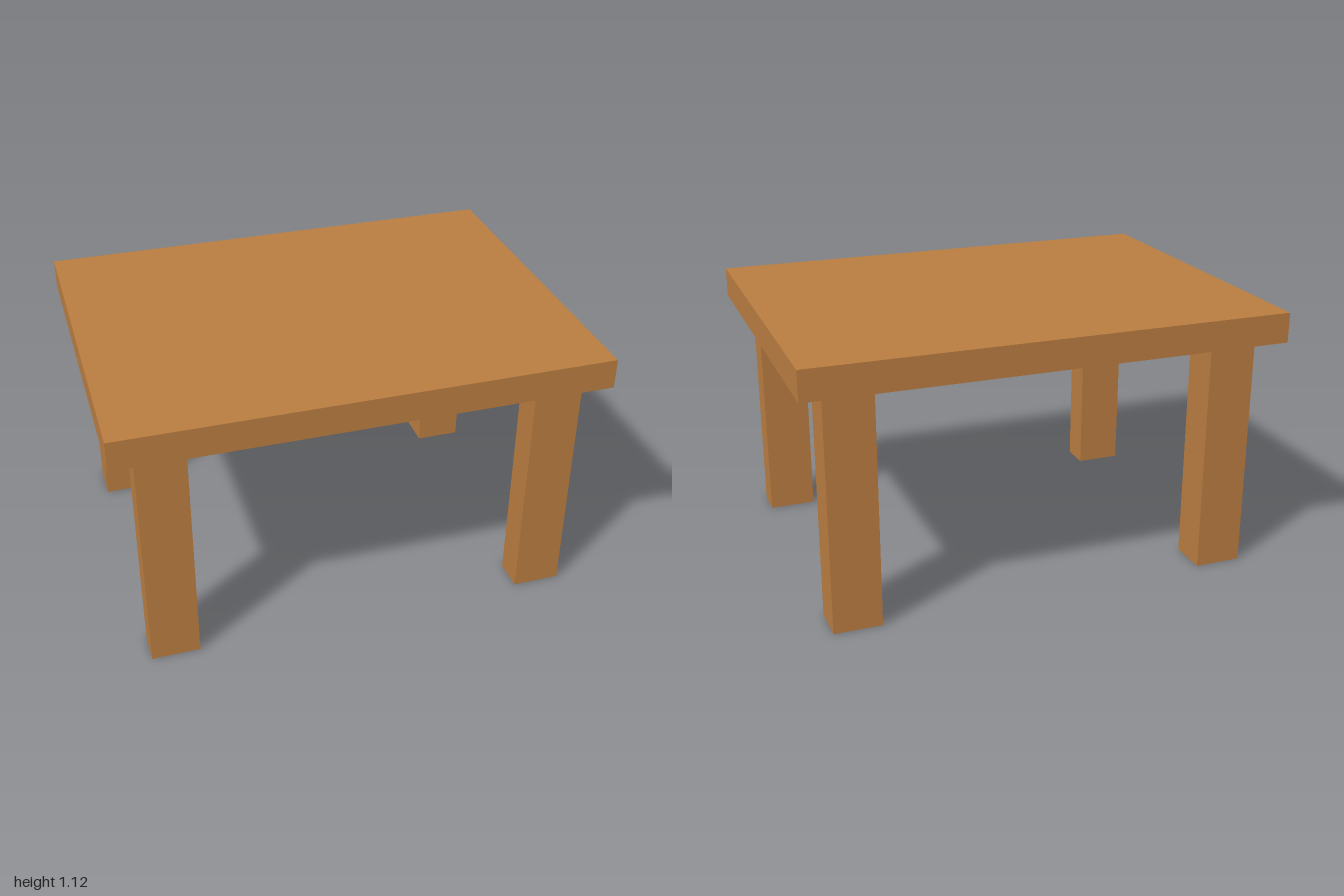
import * as THREE from 'three';

export function createModel() {
  const table = new THREE.Group();
  table.name = 'table';
  const wood = new THREE.MeshStandardMaterial({ color: 0xb87c40 });

  // Box spanning the given ranges on each axis
  function addBox(name, [x0, x1], [y0, y1], [z0, z1]) {
    const mesh = new THREE.Mesh(new THREE.BoxGeometry(x1 - x0, y1 - y0, z1 - z0), wood);
    mesh.position.set((x0 + x1) / 2, (y0 + y1) / 2, (z0 + z1) / 2);
    mesh.name = name;
    table.add(mesh);
  }

  addBox('tableTop', [-1, 1], [1, 1.125], [-0.75, 0.75]);

  // Legs: the back pair is slightly deeper than the front pair
  const sides = { Left: [0.7, 0.9], Right: [-0.9, -0.7] };
  for (const [side, x] of Object.entries(sides)) {
    addBox('front' + side + 'Leg', x, [0, 1], [0.55, 0.683]);
    addBox('back' + side + 'Leg', x, [0, 1], [-0.667, -0.5]);
  }

  return table;
}
